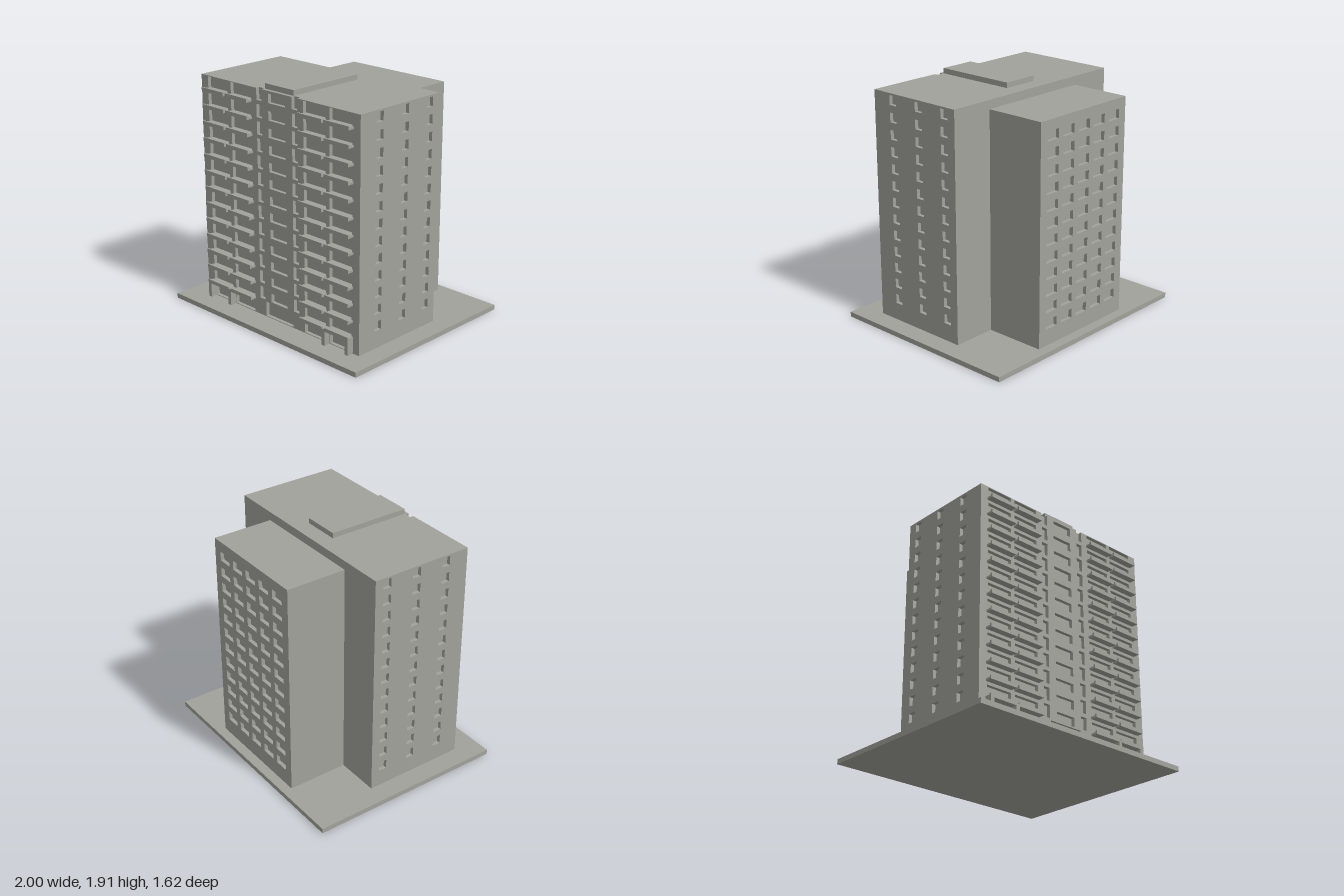
import * as THREE from 'three';

const concrete = new THREE.MeshStandardMaterial({ color: 0xa2a29b });
concrete.name = 'concrete grey';

const FLOORS = 13;
const STEP = 0.1333; // storey height
const DEPTH = 0.03; // depth of window recesses
const GROUND = 0.04;
const ROOF = 1.87;

export function createModel() {
  const model = new THREE.Group();
  model.name = 'apartmentTower';

  const add = (name, geometry) => {
    const mesh = new THREE.Mesh(geometry, concrete);
    mesh.name = name;
    model.add(mesh);
    return mesh;
  };

  // Box given by its limits on each axis
  const box = (name, x0, x1, y0, y1, z0, z1) => {
    const mesh = add(name, new THREE.BoxGeometry(x1 - x0, y1 - y0, z1 - z0));
    mesh.position.set((x0 + x1) / 2, (y0 + y1) / 2, (z0 + z1) / 2);
  };

  const outline = (points) => points.map(([x, y]) => new THREE.Vector2(x, y));
  const rect = (x0, x1, y0, y1) => outline([[x0, y0], [x1, y0], [x1, y1], [x0, y1]]);

  // Wall skin with rectangular openings, backed by the solid core
  const wall = (name, points, openings) => {
    const shape = new THREE.Shape(points);
    openings.forEach((o) => shape.holes.push(new THREE.Path(rect(...o))));
    return add(name, new THREE.ExtrudeGeometry(shape, { depth: DEPTH, bevelEnabled: false }));
  };

  // Ground slab, cores and roof hut
  box('groundSlab', -1, 1, 0, GROUND, -0.81, 0.81);
  box('mainCore', -0.81, 0.81, GROUND, ROOF, -0.235, 0.575);
  box('rearCore', -0.48, 0.48, GROUND, 1.8, -0.7, -0.235);
  box('roofHut', -0.15, 0.15, ROOF, 1.912, -0.1, 0.575);

  // Front wall: stair windows, balcony doors, ground floor bays and entrance
  const front = [[-0.15, 0.15, 0.045, 0.165]];
  for (let i = 0; i < FLOORS; i++) {
    const y = 0.18 + i * STEP;
    front.push([-0.09, 0.09, y - 0.002, y + 0.07]);
    for (const s of [-1, 1]) {
      const mirrored = (a, b, y0, y1) =>
        front.push([Math.min(s * a, s * b), Math.max(s * a, s * b), y0, y1]);
      // The top slots break through the roof edge, so they belong to the outline
      if (i < FLOORS - 1) mirrored(0.16, 0.217, y, y + 0.102);
      mirrored(0.278, 0.503, y - 0.007, y + 0.085);
      mirrored(0.54, 0.765, y - 0.007, y + 0.085);
      if (i === 0) {
        mirrored(0.278, 0.503, 0.045, 0.155);
        mirrored(0.545, 0.745, 0.045, 0.155);
      }
    }
  }
  const slot = 0.18 + (FLOORS - 1) * STEP;
  wall('frontWall', outline([
    [-0.84, GROUND], [0.84, GROUND], [0.84, ROOF],
    [0.217, ROOF], [0.217, slot], [0.16, slot], [0.16, ROOF],
    [-0.16, ROOF], [-0.16, slot], [-0.217, slot], [-0.217, ROOF], [-0.84, ROOF],
  ]), front).position.z = 0.575;

  // Side walls with three columns of small windows
  for (const s of [1, -1]) {
    const openings = [];
    for (let i = 0; i < FLOORS; i++) {
      const y = 0.18 + i * STEP;
      for (const z of [0.405, 0.135, -0.13]) {
        const u = -s * z;
        openings.push([u - 0.035, u + 0.035, y, y + 0.075]);
      }
    }
    const [a, b] = s > 0 ? [-0.575, 0.235] : [-0.235, 0.575];
    const side = wall(s > 0 ? 'leftWall' : 'rightWall', rect(a, b, GROUND, ROOF), openings);
    side.rotation.y = (s * Math.PI) / 2;
    side.position.x = s * 0.81;
  }

  // Back wall of the rear block with five columns of windows
  const back = [];
  for (let i = 0; i < FLOORS - 1; i++) {
    const y = 0.175 + i * STEP;
    for (let c = -2; c <= 2; c++) {
      back.push([c * 0.173 - 0.061, c * 0.173 + 0.061, y, y + 0.075]);
    }
  }
  const backWall = wall('backWall', rect(-0.48, 0.48, GROUND, 1.8), back);
  backWall.rotation.y = Math.PI;
  backWall.position.z = -0.7;

  // Balconies: slab with a raised front lip, profile drawn in z and y
  const profile = new THREE.Shape(outline([
    [0, 0], [0.057, 0], [0.057, 0.03], [0.043, 0.03], [0.043, 0.017], [0, 0.017],
  ]));
  const balconyGeometry = new THREE.ExtrudeGeometry(profile, { depth: 0.242, bevelEnabled: false });
  balconyGeometry.rotateY(-Math.PI / 2); // now runs towards -x, faces +z
  for (let i = 0; i < FLOORS; i++) {
    for (const right of [-0.535, -0.269, 0.511, 0.777]) {
      add('balcony', balconyGeometry).position.set(right, 0.156 + i * STEP, 0.604);
    }
  }

  // Ground floor posts under the outer balconies
  for (const x of [-0.761, -0.524, 0.524, 0.761]) {
    box('balconyPost', x - 0.016, x + 0.016, GROUND, 0.175, 0.604, 0.66);
  }

  return model;
}
